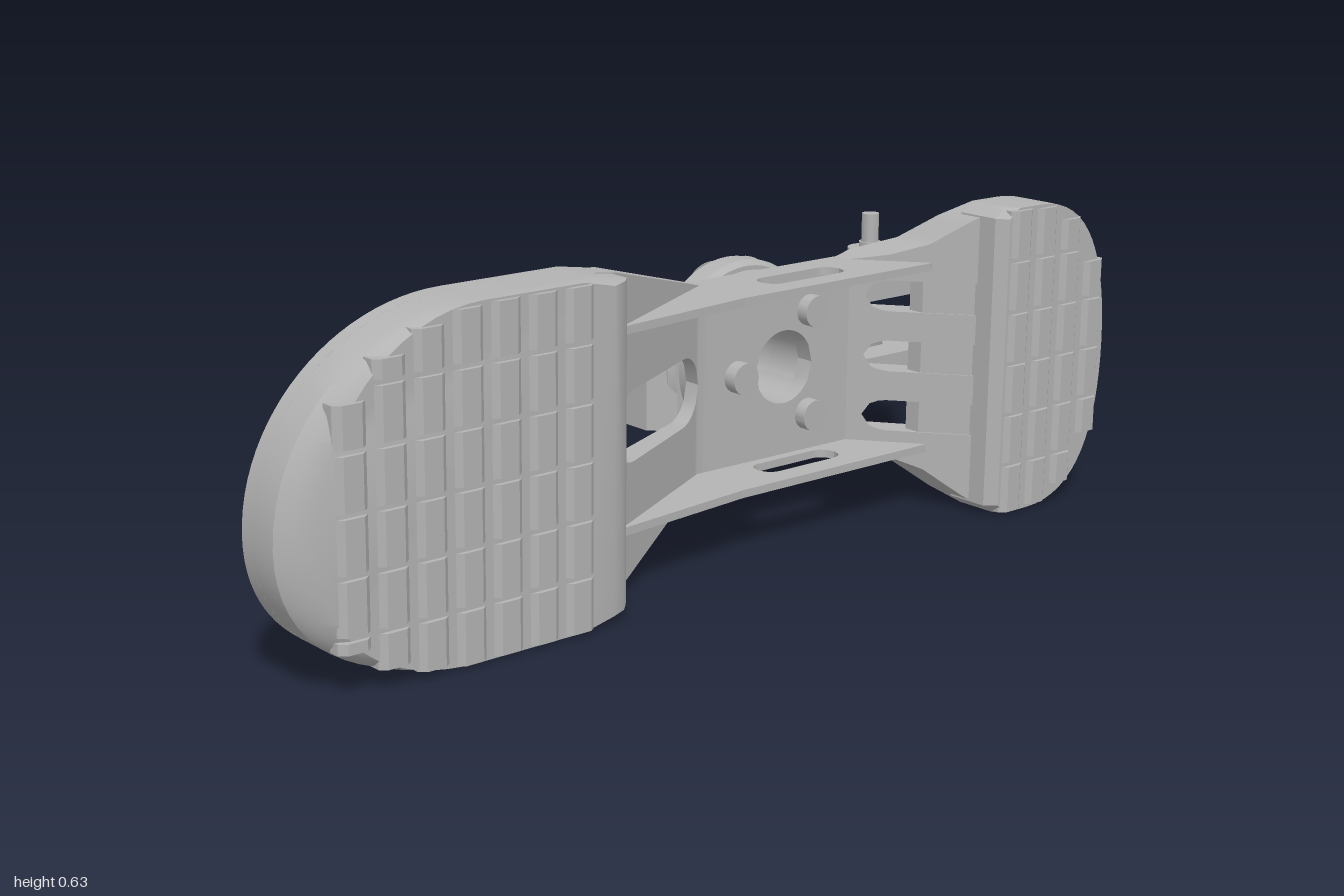
import * as THREE from 'three';
import { toCreasedNormals, mergeGeometries } from 'three/addons/utils/BufferGeometryUtils.js';

const C = 0.3165; // mid height
const AXLE = -0.325; // z of the ankle tube
const metal = new THREE.MeshStandardMaterial({ color: 0xb3b3b3 });
metal.name = 'grey metal';

export function createModel() {
  const root = new THREE.Group();
  root.name = 'mechanicalFoot';

  function add(name, geo, parent = root) {
    const mesh = new THREE.Mesh(toCreasedNormals(geo, 0.5), metal);
    mesh.name = name;
    parent.add(mesh);
    return mesh;
  }
  const extrude = (shape, depth) => new THREE.ExtrudeGeometry(shape, { depth, bevelEnabled: false, curveSegments: 24 });
  // Shapes for exX use (-z, y), for exY (x, -z), for exZ (x, y)
  const exX = (shape, a, b) => extrude(shape, b - a).rotateY(Math.PI / 2).translate(a, 0, 0);
  const exY = (shape, a, b) => extrude(shape, b - a).rotateX(-Math.PI / 2).translate(0, a, 0);
  const exZ = (shape, a, b) => extrude(shape, b - a).translate(0, 0, a);
  const circle = (x, y, r, Kind = THREE.Path) => new Kind().absarc(x, y, r, 0, Math.PI * 2, false);
  const slotPath = (u0, u1, v, r) => new THREE.Path()
    .absarc(u0 + r, v, r, Math.PI / 2, Math.PI * 1.5, false)
    .absarc(u1 - r, v, r, -Math.PI / 2, Math.PI / 2, false);
  const cylX = (x0, x1, y, z, r) => new THREE.CylinderGeometry(r, r, x1 - x0, 24).rotateZ(Math.PI / 2).translate((x0 + x1) / 2, y, z);

  // Skin through convex rings of [x, y, z] points, closed at both ends
  function loft(rings) {
    const n = rings[0].length, index = [];
    for (let i = 0; i < rings.length - 1; i++)
      for (let k = 0; k < n; k++) {
        const a = i * n + k, b = i * n + (k + 1) % n;
        index.push(a, b, b + n, a, b + n, a + n);
      }
    const e = (rings.length - 1) * n;
    for (let k = 1; k < n - 1; k++) index.push(0, k + 1, k, e, e + k, e + k + 1);
    const geo = new THREE.BufferGeometry();
    geo.setAttribute('position', new THREE.Float32BufferAttribute(rings.flat(2), 3));
    geo.setIndex(index);
    geo.computeVertexNormals();
    return geo;
  }
  const section = (x0, x1, y0, y1, z) => [[x0, y0, z], [x1, y0, z], [x1, y1, z], [x0, y1, z]];
  // Piecewise linear value at z
  function table(rows, z) {
    for (let i = 1; i < rows.length; i++) {
      const [z0, a] = rows[i - 1], [z1, b] = rows[i];
      if (z <= z1) return a + (b - a) * (z - z0) / (z1 - z0);
    }
    return rows[rows.length - 1][1];
  }
  // Half width of a round-ended slot at z
  function slotHalf(z, z0, z1, r) {
    const d = Math.min(z - z0, z1 - z);
    return d <= 0 ? 0 : d >= r ? r : Math.sqrt(r * r - (r - d) ** 2);
  }

  // Sloping bridge between the pads: four bars that leave the slots open
  const back = [[-0.69, 0.37], [-0.545, 0.18], [-0.1, 0.18], [0.28, 0.35], [0.35, 0.35]];
  const front = [[-0.69, 0.46], [-0.66, 0.42], [-0.5, 0.22], [-0.1, 0.215], [0.26, 0.4], [0.35, 0.42]];
  const half = [[-0.69, 0.3165], [-0.65, 0.285], [-0.6, 0.235], [-0.55, 0.21], [-0.5, 0.197], [-0.1, 0.197], [0.26, 0.302], [0.35, 0.3165]];
  const bars = [[], [], [], []];
  for (let i = 0; i <= 104; i++) {
    const z = -0.69 + i * 0.01;
    const xb = table(back, z), xf = table(front, z), h = table(half, z);
    const s = slotHalf(z, -0.75, -0.52, 0.032);
    const w = Math.max(s, slotHalf(z, -0.1, 0.25, 0.068), slotHalf(z, AXLE - 0.075, AXLE + 0.075, 0.075));
    [[-h, -0.125 - s], [-0.125 + s, -w], [w, 0.125 - s], [0.125 + s, h]].forEach(([a, b], k) =>
      bars[k].push(section(xb, xf, C + a, C + b, z)));
  }
  add('bridge', mergeGeometries(bars.map(loft)));

  // Floors of the heel slots
  for (const d of [-0.125, 0, 0.125])
    add('heelSlotFloor', loft([-0.69, -0.66, -0.595].map(z => {
      const x = table(front, z);
      return section(x - 0.04, x - 0.005, C + d - 0.034, C + d + 0.034, z);
    })));

  // Side rails: upright walls, each with a round-ended slot
  const railBack = [[-0.63, 0.3], [-0.55, 0.18], [0.04, 0.18], [0.35, 0.35]];
  const railFront = [[-0.63, 0.33], [-0.6, 0.35], [-0.1, 0.35], [0.26, 0.39], [0.35, 0.37]];
  for (const y of [C - 0.197, C + 0.181]) {
    const strips = [[], []];
    for (let i = 0; i <= 196; i++) {
      const z = -0.63 + i * 0.005;
      const xb = table(railBack, z), xf = table(railFront, z), s = slotHalf(z, -0.42, -0.21, 0.031);
      const mid = Math.min(xf, Math.max(xb, 0.27));
      strips[0].push(section(xb, mid - s, y, y + 0.016, z));
      strips[1].push(section(mid + s, xf, y, y + 0.016, z));
    }
    add('sideRail', mergeGeometries(strips.map(loft)));
  }

  // Bosses on the bridge
  for (const [z, y] of [[-0.39, 0.425], [-0.2, C], [-0.39, 0.21]]) add('boss', cylX(0.2, 0.245, y, z, 0.032));

  // Sole pads: outline in (-z, y), layers as [x, z scale, y scale], slotted back and tread blocks
  function pad(name, shape, x0, layers, cz, slots, cols, first, pitch) {
    const group = new THREE.Group();
    group.name = name;
    root.add(group);
    let pts = shape.getPoints(16);
    if (THREE.ShapeUtils.isClockWise(pts)) pts = pts.reverse();
    add(name + 'Body', loft(layers.map(([x, sz, sy]) =>
      pts.map(p => [x, C + (p.y - C) * sy, cz + (-p.x - cz) * sz]))), group);
    slots.forEach(([z0, z1, v]) => shape.holes.push(slotPath(-z1, -z0, v, 0.028)));
    add(name + 'Back', exX(shape, x0, layers[0][0]), group);

    const range = z => {
      const ys = [];
      pts.forEach((p, i) => {
        const q = pts[(i + 1) % pts.length];
        if ((p.x + z) * (q.x + z) < 0) ys.push(p.y + (q.y - p.y) * (-z - p.x) / (q.x - p.x));
      });
      return [Math.min(...ys), Math.max(...ys)];
    };
    const blocks = [];
    for (let i = 0; i < cols; i++) {
      const z0 = first + i * pitch + 0.006, z1 = first + (i + 1) * pitch - 0.006;
      const r0 = range(z0), r1 = range(z1);
      const lo = Math.max(r0[0], r1[0]) + 0.002, hi = Math.min(r0[1], r1[1]) - 0.002;
      for (let j = 0; j < 6; j++) {
        const y0 = Math.max(lo, j * 0.1055 + 0.005), y1 = Math.min(hi, (j + 1) * 0.1055 - 0.005);
        if (y1 - y0 < 0.015) continue;
        blocks.push(loft([[0.455, 0], [0.479, 0], [0.49, 0.014]].map(([x, d]) =>
          [[x, y0, z1 - d], [x, y0, z0 + d], [x, y1, z0 + d], [x, y1, z1 - d]])));
      }
    }
    add(name + 'Treads', mergeGeometries(blocks), group);
  }
  const toe = new THREE.Shape();
  toe.moveTo(-0.27, 0.015);
  toe.lineTo(-0.35, 0);
  toe.lineTo(-0.62, 0);
  toe.bezierCurveTo(-0.85, 0, -1, 0.1, -1, 0.27);
  toe.bezierCurveTo(-1, 0.47, -0.82, 0.633, -0.6, 0.633);
  toe.lineTo(-0.35, 0.633);
  toe.lineTo(-0.27, 0.618);
  pad('toePad', toe, 0.35, [[0.38, 1, 1], [0.445, 1, 1], [0.465, 0.94, 1], [0.481, 0.84, 0.997]], 0.62,
    [[0.42, 0.83, 0.13], [0.42, 0.88, 0.255], [0.42, 0.88, 0.38], [0.45, 0.78, 0.51]], 7, 0.365, 0.078);
  const heel = new THREE.Shape();
  heel.moveTo(0.66, 0.02);
  heel.lineTo(0.69, 0);
  heel.lineTo(0.76, 0);
  heel.bezierCurveTo(0.94, 0, 1, 0.14, 1, C);
  heel.bezierCurveTo(1, 0.493, 0.94, 0.633, 0.76, 0.633);
  heel.lineTo(0.69, 0.633);
  heel.lineTo(0.66, 0.613);
  pad('heelPad', heel, 0.37, [[0.395, 1, 1], [0.46, 1, 1], [0.481, 0.88, 0.997]], -0.83,
    [-0.125, 0, 0.125].map(d => [-0.84, -0.665, C + d]), 4, -0.975, 0.074);

  // Ankle tube, chamfered flange and bolts
  const tube = circle(-AXLE, C, 0.178, THREE.Shape);
  tube.holes.push(circle(-AXLE, C, 0.075));
  add('ankleTube', exX(tube, 0.095, 0.2));
  const flange = [[0.075, 0.03], [0.18, 0.03], [0.197, 0.045], [0.197, 0.09], [0.187, 0.103], [0.075, 0.103], [0.075, 0.03]];
  add('ankleFlange', new THREE.LatheGeometry(flange.map(p => new THREE.Vector2(...p)), 48)
    .rotateZ(-Math.PI / 2).translate(0, C, AXLE));
  for (let i = 0; i < 6; i++) {
    const a = i * Math.PI / 3;
    add('ankleBolt', cylX(-0.004, 0.035, C + 0.125 * Math.sin(a), AXLE + 0.125 * Math.cos(a), 0.032));
  }
  add('stopPeg', cylX(0.15, 0.2, C, -0.54, 0.03));

  // Two lugs reaching to the right, joined to the flange by corner blocks
  function lug(r, hole, x1) {
    const s = new THREE.Shape();
    s.moveTo(x1, C - r);
    s.lineTo(x1, C + r);
    s.lineTo(-0.173, C + r);
    s.absarc(-0.173, C, r, Math.PI / 2, Math.PI * 1.5, false);
    s.holes.push(circle(-0.173, C, hole));
    return s;
  }
  add('frontLug', exZ(lug(0.127, 0.03, 0.05), -0.155, -0.1));
  add('backLug', exZ(lug(0.127, 0.055, 0.05), -0.565, -0.505));
  const corner = new THREE.Shape([[0.03, 0.19], [0.03, 0.1], [0.06, 0.1], [0.103, 0.145], [0.103, 0.19]]
    .map(p => new THREE.Vector2(...p)));
  add('frontCorner', exY(corner, C - 0.127, C + 0.127));
  add('backCorner', new THREE.BoxGeometry(0.073, 0.254, 0.12).translate(0.0665, C, -0.54));

  // Motor disc, bearing rings and screw holes
  const screws = [[-0.225, 0.41], [-0.12, 0.41], [-0.07, 0.318], [-0.12, 0.23], [-0.225, 0.23]];
  const disc = circle(-0.173, C, 0.123, THREE.Shape);
  screws.forEach(([x, y]) => disc.holes.push(circle(x, y, 0.017)));
  for (const y of [0.25, 0.385]) disc.holes.push(circle(-0.173, y, 0.007));
  add('motorDisc', exZ(disc, -0.04, -0.018));
  for (const [x, y] of screws)
    add('motorScrew', new THREE.TorusGeometry(0.009, 0.004, 8, 20).translate(x, y, -0.034));
  add('motorBody', new THREE.CylinderGeometry(0.123, 0.108, 0.065, 48).rotateX(Math.PI / 2).translate(-0.173, C, -0.072));
  const ring = (R, r) => {
    const s = circle(-0.173, C, R, THREE.Shape);
    s.holes.push(circle(-0.173, C, r));
    return s;
  };
  const cover = ring(0.127, 0.068);
  screws.forEach(([x, y]) => cover.holes.push(circle(x, y, 0.015)));
  add('bearingCover', exZ(cover, -0.59, -0.572));
  add('bearingNeck', exZ(ring(0.118, 0.068), -0.574, -0.56));
  add('bearingRing', exZ(ring(0.055, 0.035), -0.16, -0.15));

  // Hooked fork arms with end pins
  const arm = new THREE.Shape();
  arm.moveTo(0.103, 0.5);
  arm.lineTo(0.103, 0.835);
  arm.absarc(0.033, 0.835, 0.07, 0, Math.PI / 2, false);
  arm.lineTo(-0.085, 0.905);
  arm.absarc(-0.085, 0.86, 0.045, Math.PI / 2, Math.PI * 1.5, false);
  arm.lineTo(0.0, 0.815);
  arm.absarc(0.0, 0.785, 0.03, Math.PI / 2, 0, true);
  arm.lineTo(0.03, 0.5);
  for (const side of [-1, 1]) {
    const y = C + side * 0.095;
    add('forkArm', exY(arm, y - 0.033, y + 0.033));
    const pin = new THREE.Group();
    pin.name = 'forkPin';
    pin.position.set(-0.08, C, -0.86);
    root.add(pin);
    const steps = [[0.019, 0.05, 0.205], [0.024, 0.125, 0.142]];
    if (side < 0) steps.push([0.024, 0.172, 0.182]);
    for (const [r, h0, h1] of steps)
      add('pinStep', new THREE.CylinderGeometry(r, r, h1 - h0, 20).translate(0, side * (h0 + h1) / 2, 0), pin);
  }

  // Ribbon cable of thin wires
  for (let i = 0; i < 8; i++)
    add('cableWire', new THREE.CylinderGeometry(0.0035, 0.0035, 0.23, 6).rotateZ(Math.PI / 2).translate(-0.375, 0.283 + i * 0.01, -0.052));

  return root;
}
